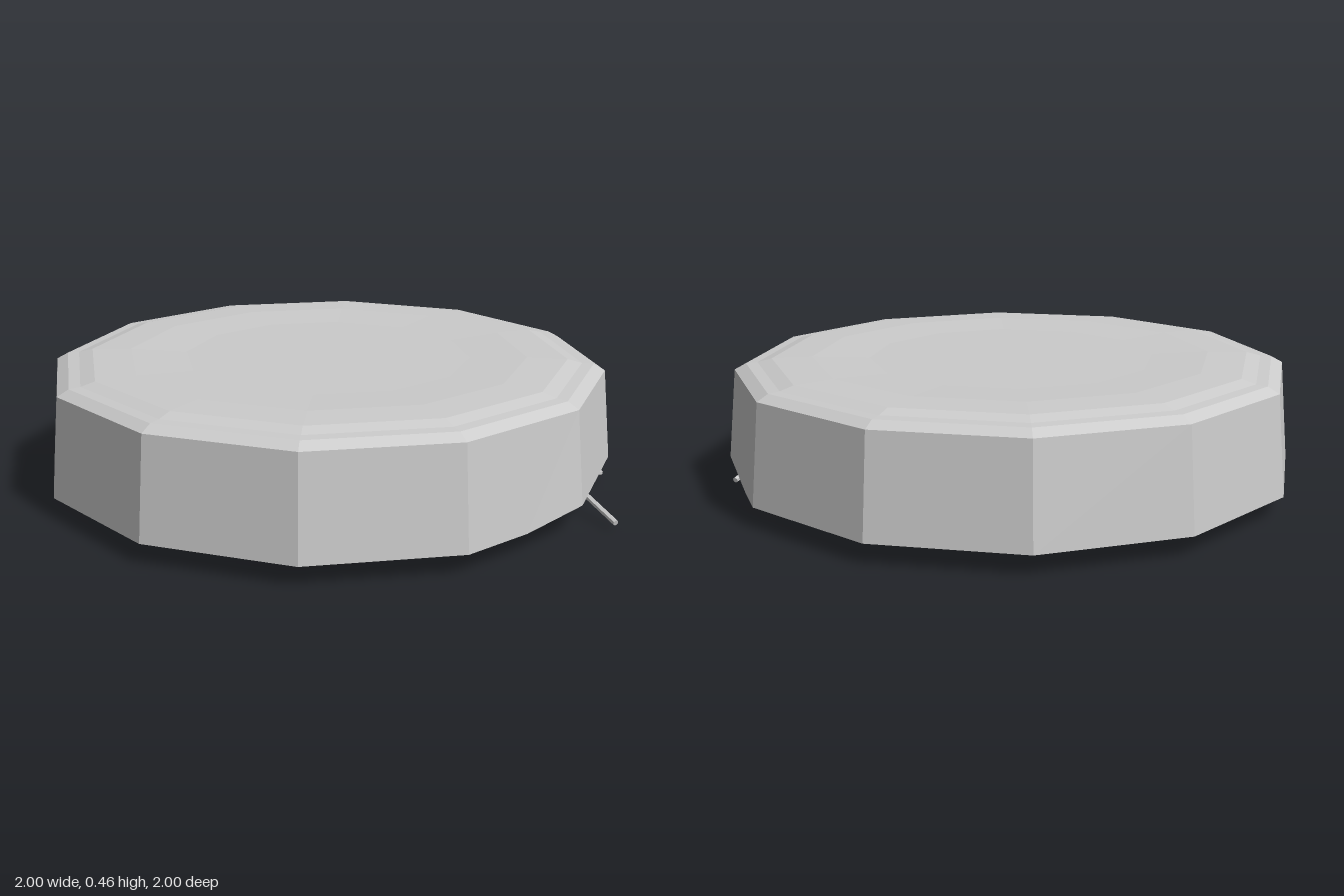
import * as THREE from 'three';

const BASE = 0.07; // height of the underside
const material = new THREE.MeshStandardMaterial({ color: 0xcccccc, flatShading: true, side: THREE.DoubleSide });
const V = (x, y, z) => new THREE.Vector3(x, y, z);

function add(parent, name, geometry, x = 0, y = 0, z = 0) {
  const mesh = new THREE.Mesh(geometry, material);
  mesh.name = name;
  mesh.position.set(x, y, z);
  parent.add(mesh);
  return mesh;
}

// Triangles from a flat list of points
function triangles(points) {
  const g = new THREE.BufferGeometry().setFromPoints(points);
  g.computeVertexNormals();
  return g;
}

// Closed band of quads between two loops of points
function band(lower, upper) {
  const pts = [];
  lower.forEach((a, i) => {
    const j = (i + 1) % lower.length;
    pts.push(a, lower[j], upper[j], a, upper[j], upper[i]);
  });
  return triangles(pts);
}

// Flat polygon facing down; outline and holes are lists of Vector3 in x and z
function plate(outline, holes = []) {
  const flat = (loop) => loop.map((p) => new THREE.Vector2(p.x, p.z));
  const shape = new THREE.Shape(flat(outline));
  holes.forEach((h) => shape.holes.push(new THREE.Path(flat(h))));
  return new THREE.ShapeGeometry(shape).rotateX(Math.PI / 2);
}

function rectangle(cx, cz, hx, hz) {
  return [[-1, -1], [1, -1], [1, 1], [-1, 1]].map(([a, b]) => V(cx + a * hx, BASE, cz + b * hz));
}

function rod(a, b, radius) {
  const d = b.clone().sub(a);
  const g = new THREE.CylinderGeometry(radius, radius, d.length(), 6);
  g.applyQuaternion(new THREE.Quaternion().setFromUnitVectors(V(0, 1, 0), d.normalize()));
  const m = a.clone().add(b).multiplyScalar(0.5);
  return g.translate(m.x, m.y, m.z);
}

export function createModel() {
  const model = new THREE.Group();
  model.name = 'roundFloorCleaner';

  // Twelve-sided outline; two corners lift over the side brush
  const corner = (i, r, y) => V(r * Math.sin(i * Math.PI / 6), y, r * Math.cos(i * Math.PI / 6));
  const cutStart = corner(0, 1, BASE).lerp(corner(1, 1, BASE), 0.5);
  const cutEnd = corner(2, 1, BASE).lerp(corner(3, 1, BASE), 0.7);
  const bottom = [];
  const rim = [];
  for (let i = 0; i < 12; i++) {
    bottom.push(corner(i, 1, i === 1 || i === 2 ? 0.1 : BASE));
    rim.push(corner(i, 0.97, 0.415));
    if (i === 0) {
      bottom.push(cutStart);
      rim.push(corner(0, 0.97, 0.415).lerp(corner(1, 0.97, 0.415), 0.5));
    }
    if (i === 2) {
      bottom.push(cutEnd);
      rim.push(corner(2, 0.97, 0.415).lerp(corner(3, 0.97, 0.415), 0.7));
    }
  }
  add(model, 'sideWall', band(bottom, rim));

  // Stepped lid with a shallow dish
  const profile = [[0.97, 0.415], [0.93, 0.437], [0.89, 0.44], [0.84, 0.453], [0.7, 0.457], [0.5, 0.45], [0, 0.45]];
  add(model, 'lid', new THREE.LatheGeometry(profile.map(([r, y]) => new THREE.Vector2(r, y)), 12));

  // Sloped recess above the side brush
  const inner = V(0.42, BASE, 0.42);
  const roof = V(0.52, 0.1, 0.52);
  const [p1, p2] = [bottom[2], bottom[3]];
  add(model, 'brushRecess', triangles([
    roof, p2, p1,
    cutStart, roof, p1,
    cutStart, inner, roof,
    inner, cutEnd, roof,
    cutEnd, p2, roof,
  ]));

  // Underside with wells for wheels, roller and caster
  const casterLoop = [];
  for (let i = 0; i < 6; i++) {
    const a = i * Math.PI / 3 + Math.PI / 6;
    casterLoop.push(V(0.86 + 0.1 * Math.cos(a), BASE, 0.1 * Math.sin(a)));
  }
  const wells = [
    { name: 'rollerWell', loop: rectangle(0, 0, 0.15, 0.525), depth: 0.15 },
    { name: 'leftWheelWell', loop: rectangle(0, 0.69, 0.2, 0.115), depth: 0.15 },
    { name: 'rightWheelWell', loop: rectangle(0, -0.69, 0.2, 0.115), depth: 0.15 },
    { name: 'casterWell', loop: casterLoop, depth: 0.06 },
  ];
  const outline = [bottom[0], cutStart, inner, ...bottom.slice(4)];
  add(model, 'underside', plate(outline, wells.map((w) => w.loop)), 0, BASE, 0);
  for (const { name, loop, depth } of wells) {
    const top = loop.map((p) => V(p.x, p.y + depth, p.z));
    add(model, name, band(top, loop));
    add(model, name + 'Ceiling', plate(loop), 0, BASE + depth, 0);
  }

  // Drive wheels, resting on a flat facet
  for (const side of [1, -1]) {
    const wheel = new THREE.CylinderGeometry(0.148, 0.148, 0.14, 10);
    wheel.rotateY(Math.PI / 10).rotateX(Math.PI / 2);
    add(model, side > 0 ? 'frontWheel' : 'backWheel', wheel, 0, 0.141, side * 0.69);
  }

  // Main roller
  const roller = new THREE.CylinderGeometry(0.108, 0.108, 1.04, 8);
  roller.rotateY(Math.PI / 8).rotateX(Math.PI / 2);
  add(model, 'roller', roller, 0, 0.15, 0);

  // Caster ball and its stem
  add(model, 'casterBall', new THREE.SphereGeometry(0.055, 8, 6), 0.863, 0.062, 0);
  add(model, 'casterStem', new THREE.CylinderGeometry(0.03, 0.03, 0.05, 6), 0.863, 0.11, 0);

  // Side brush with three drooping arms
  const brush = new THREE.Group();
  brush.name = 'sideBrush';
  brush.position.set(0.625, 0, 0.595);
  add(brush, 'brushHub', new THREE.CylinderGeometry(0.05, 0.05, 0.02, 6), 0, 0.092, 0);
  for (let i = 0; i < 3; i++) {
    const a = i * Math.PI * 2 / 3;
    const tip = V(0.285 * Math.sin(a), 0.024, 0.285 * Math.cos(a));
    add(brush, 'brushArm', rod(V(0, 0.09, 0), tip, 0.01));
  }
  model.add(brush);

  return model;
}
